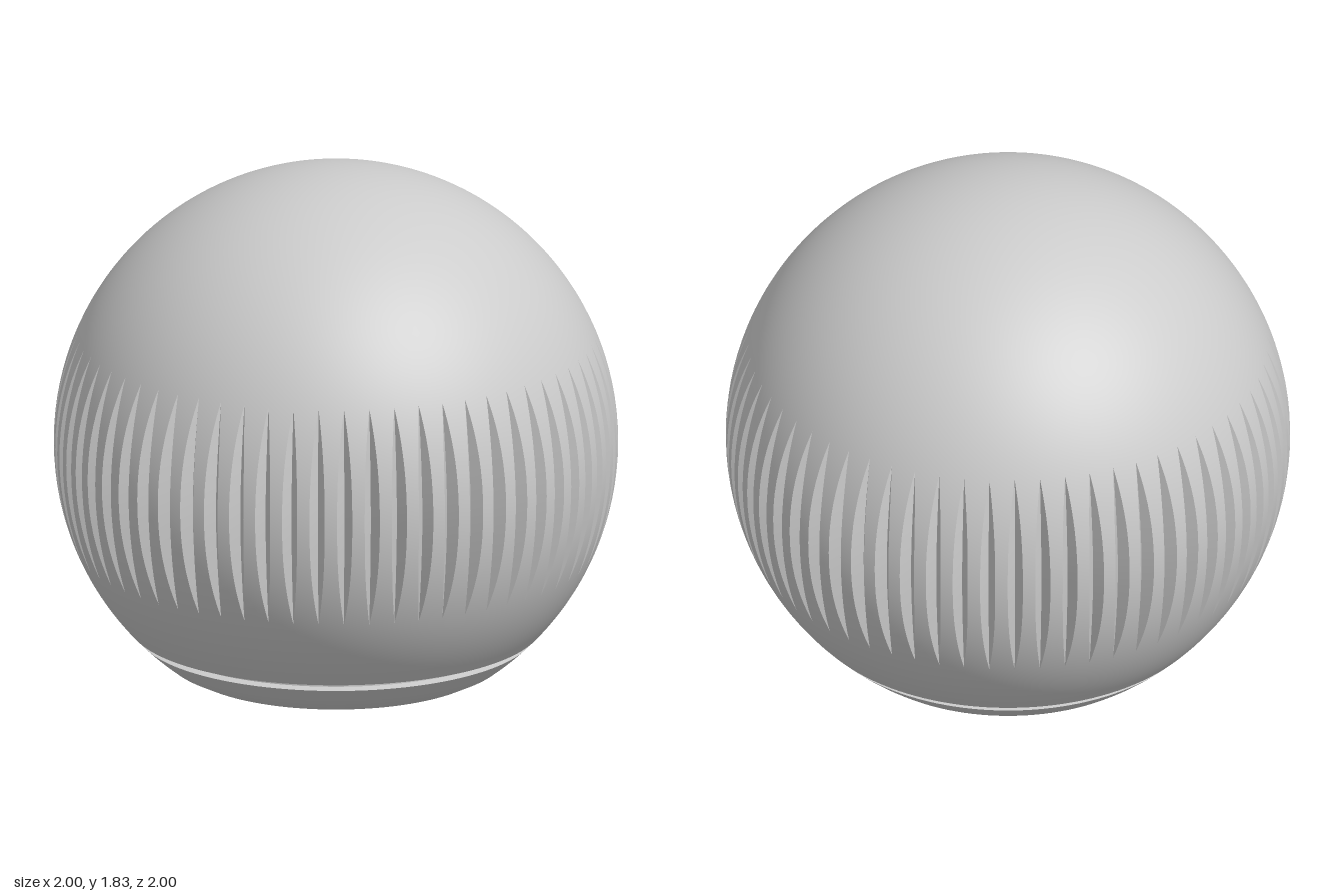
import * as THREE from 'three';
import { toCreasedNormals } from 'three/addons/utils/BufferGeometryUtils.js';

const CENTRE = 0.83; // height of the ball's centre, radius 1
const GROOVES = 64;
const BAND = 0.4; // half height of the grooved band
const STEP = (Math.PI * 2) / GROOVES;
const ROWS = 24;

// Point at angle a, radius r, height y (relative to the ball's centre)
const polar = (a, r, y) => [r * Math.sin(a), y, r * Math.cos(a)];

// How far a groove is open at height y: 0 at its tips, 1 in the middle
const opening = (y) => Math.max(0, 1 - Math.pow(Math.abs(y) / BAND, 2.5));

// Repeats a grid of quads around the ball; point(i, col, y) gives each corner
function ringOfStrips(cols, point) {
  const pos = [];
  for (let i = 0; i < GROOVES; i++) {
    for (let j = 0; j < ROWS; j++) {
      const y0 = -BAND * Math.cos((j / ROWS) * Math.PI);
      const y1 = -BAND * Math.cos(((j + 1) / ROWS) * Math.PI);
      for (let c = 0; c < cols; c++) {
        const a = point(i, c, y0), b = point(i, c + 1, y0);
        const d = point(i, c, y1), e = point(i, c + 1, y1);
        pos.push(...a, ...b, ...e, ...a, ...e, ...d);
      }
    }
  }
  const g = new THREE.BufferGeometry();
  g.setAttribute('position', new THREE.Float32BufferAttribute(pos, 3));
  return g;
}

export function createModel() {
  const group = new THREE.Group();
  const material = new THREE.MeshStandardMaterial({ color: 0xcccccc });
  const add = (name, geometry, y = 0) => {
    const mesh = new THREE.Mesh(geometry, material);
    mesh.name = name;
    mesh.position.y = y;
    group.add(mesh);
  };
  const zone = (y0, y1) => {
    const t = Math.acos(y1);
    return new THREE.SphereGeometry(1, 128, 40, 0, Math.PI * 2, t, Math.acos(y0) - t);
  };

  // Smooth ball above and below the grip
  add('dome', zone(BAND, 1), CENTRE);
  add('lowerBall', zone(-0.68, -BAND), CENTRE);

  // Ridges follow the ball, so their normals point away from its centre
  const halfWidth = (y) => 0.027 * opening(y);
  const ridges = ringOfStrips(2, (i, c, y) => {
    const h = halfWidth(y);
    return polar(i * STEP + h + (STEP - 2 * h) * (c / 2), Math.sqrt(1 - y * y), y);
  });
  ridges.setAttribute('normal', ridges.attributes.position.clone());
  ridges.normalizeNormals();
  add('gripRidges', ridges, CENTRE);

  // V-shaped grooves tapering to points
  const grooves = ringOfStrips(2, (i, c, y) => {
    const depth = c === 1 ? 0.042 * opening(y) : 0;
    return polar(i * STEP + (c - 1) * halfWidth(y), Math.sqrt(1 - y * y) - depth, y);
  });
  add('gripGrooves', toCreasedNormals(grooves, 0.5), CENTRE);

  // Base with stepped bore, chamfered foot and undercut ring
  const profile = [
    [0, 0.8], [0.205, 0.8], [0.205, 0.15], [0.32, 0.15], [0.32, 0], [0.54, 0], [0.6, 0.03],
  ];
  for (let y = 0.06; y < 0.13; y += 0.03) profile.push([Math.sqrt(1 - (y - CENTRE) ** 2), y]);
  profile.push([0.67, 0.125], [0.67, 0.15], [Math.sqrt(1 - 0.68 ** 2), 0.15]);
  const base = new THREE.LatheGeometry(profile.map(([x, y]) => new THREE.Vector2(x, y)), 128);
  add('base', toCreasedNormals(base, 0.3));

  return group;
}
